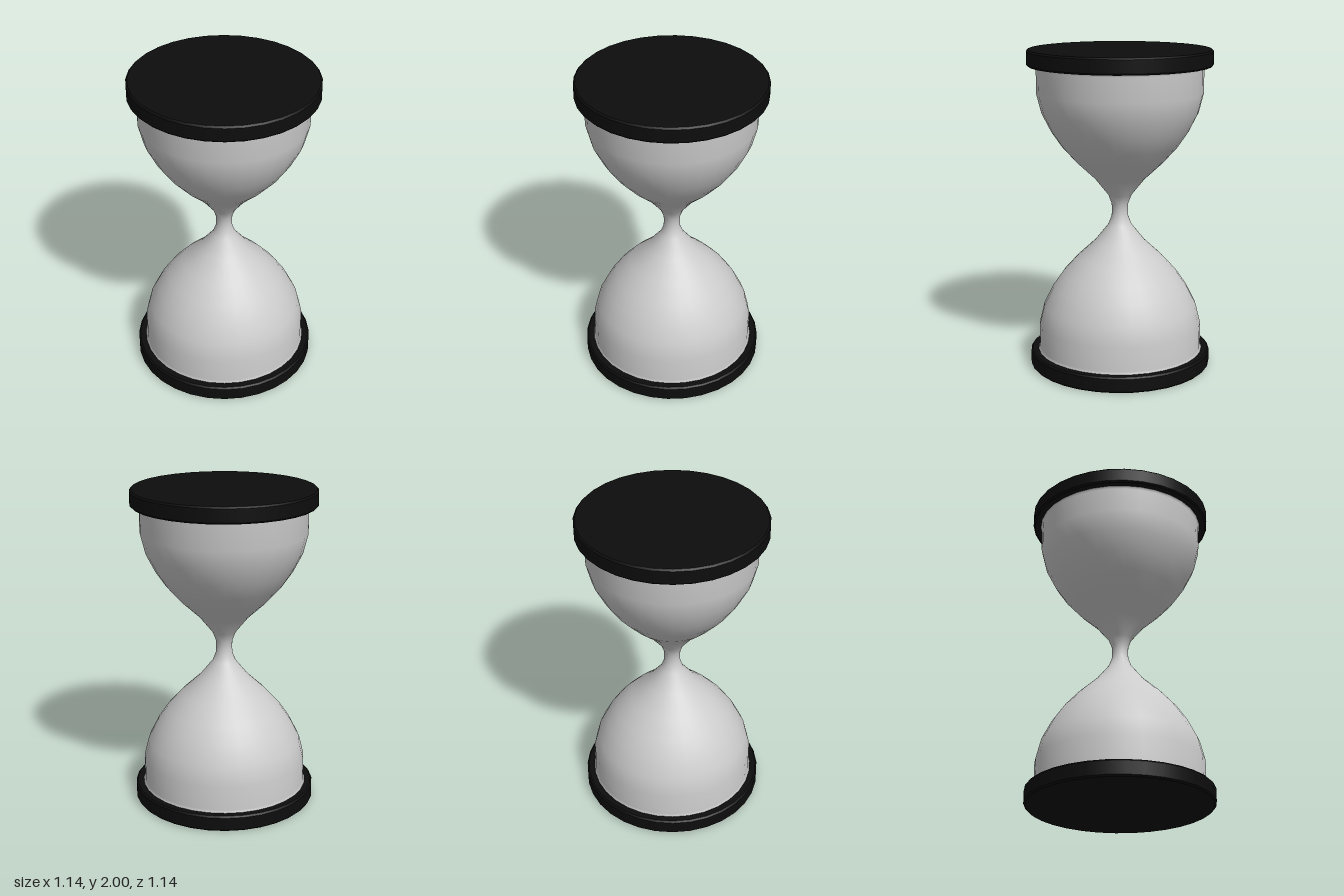
import * as THREE from 'three';

const SEGMENTS = 32;

function lathe(name, points, material) {
  const profile = points.map(([r, y]) => new THREE.Vector2(r, y));
  const mesh = new THREE.Mesh(new THREE.LatheGeometry(profile, SEGMENTS), material);
  mesh.name = name;
  return mesh;
}

export function createModel() {
  const group = new THREE.Group();
  group.name = 'hourglass';
  const glassMaterial = new THREE.MeshStandardMaterial({ color: 0xcccccc, side: THREE.DoubleSide });
  const capMaterial = new THREE.MeshStandardMaterial({ color: 0x0d0d0d });

  // Glass: half profile from base to neck, mirrored about y = 1
  const lower = [
    [0.522, 0.1], [0.513, 0.115], [0.513, 0.265], [0.483, 0.385], [0.425, 0.5], [0.36, 0.595],
    [0.27, 0.695], [0.157, 0.8], [0.073, 0.905], [0.052, 0.96],
  ];
  const upper = lower.map(([r, y]) => [r, 2 - y]).reverse();
  group.add(lathe('glassBulbs', [...lower, [0.05, 1], ...upper], glassMaterial));

  // End caps: discs with a small bevel; repeated points keep the edges crisp
  const R = 0.57, H = 0.1, b = 0.01;
  const cap = [
    [0, 0], [R - b, 0], [R - b, 0], [R, b], [R, b],
    [R, H - b], [R, H - b], [R - b, H], [R - b, H], [0, H],
  ];
  for (const [name, y] of [['bottomCap', 0], ['topCap', 2 - H]]) {
    const mesh = lathe(name, cap, capMaterial);
    mesh.position.y = y;
    group.add(mesh);
  }
  return group;
}
